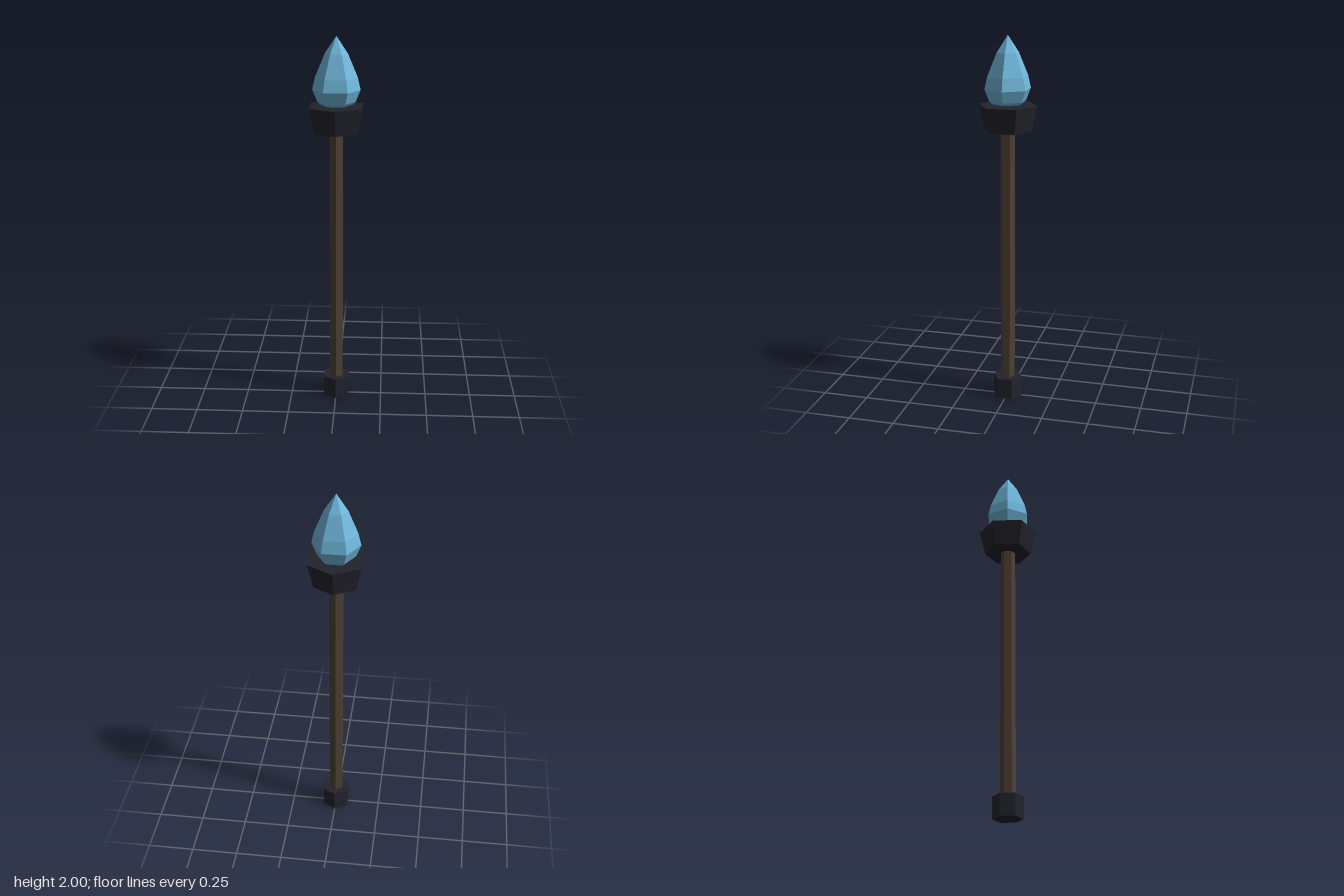
import * as THREE from 'three';

function material(name, color) {
  const m = new THREE.MeshStandardMaterial({ color, flatShading: true });
  m.name = name;
  return m;
}

export function createModel() {
  const group = new THREE.Group();
  group.name = 'crystalStaff';

  const iron = material('darkIron', 0x23232d);
  const wood = material('darkWood', 0x4d4234);
  const crystal = material('blueCrystal', 0x70b8dc);

  // Six-sided tapered section spanning y0 to y1, corners on the z axis
  function hexSection(name, rTop, rBottom, y0, y1, mat) {
    const mesh = new THREE.Mesh(new THREE.CylinderGeometry(rTop, rBottom, y1 - y0, 6), mat);
    mesh.name = name;
    mesh.position.y = (y0 + y1) / 2;
    group.add(mesh);
  }

  hexSection('footCap', 0.079, 0.079, 0, 0.115, iron);
  hexSection('shaft', 0.04, 0.04, 0.1, 1.52, wood);
  hexSection('crown', 0.158, 0.127, 1.505, 1.64, iron);

  // Faceted bud-shaped crystal, corners on the x axis
  const profile = [
    [0, 1.635], [0.086, 1.648], [0.1, 1.663], [0.125, 1.725],
    [0.11, 1.79], [0.06, 1.91], [0, 2],
  ].map(([r, y]) => new THREE.Vector2(r, y));
  const gem = new THREE.Mesh(new THREE.LatheGeometry(profile, 6, Math.PI / 6), crystal);
  gem.name = 'crystal';
  group.add(gem);

  return group;
}
